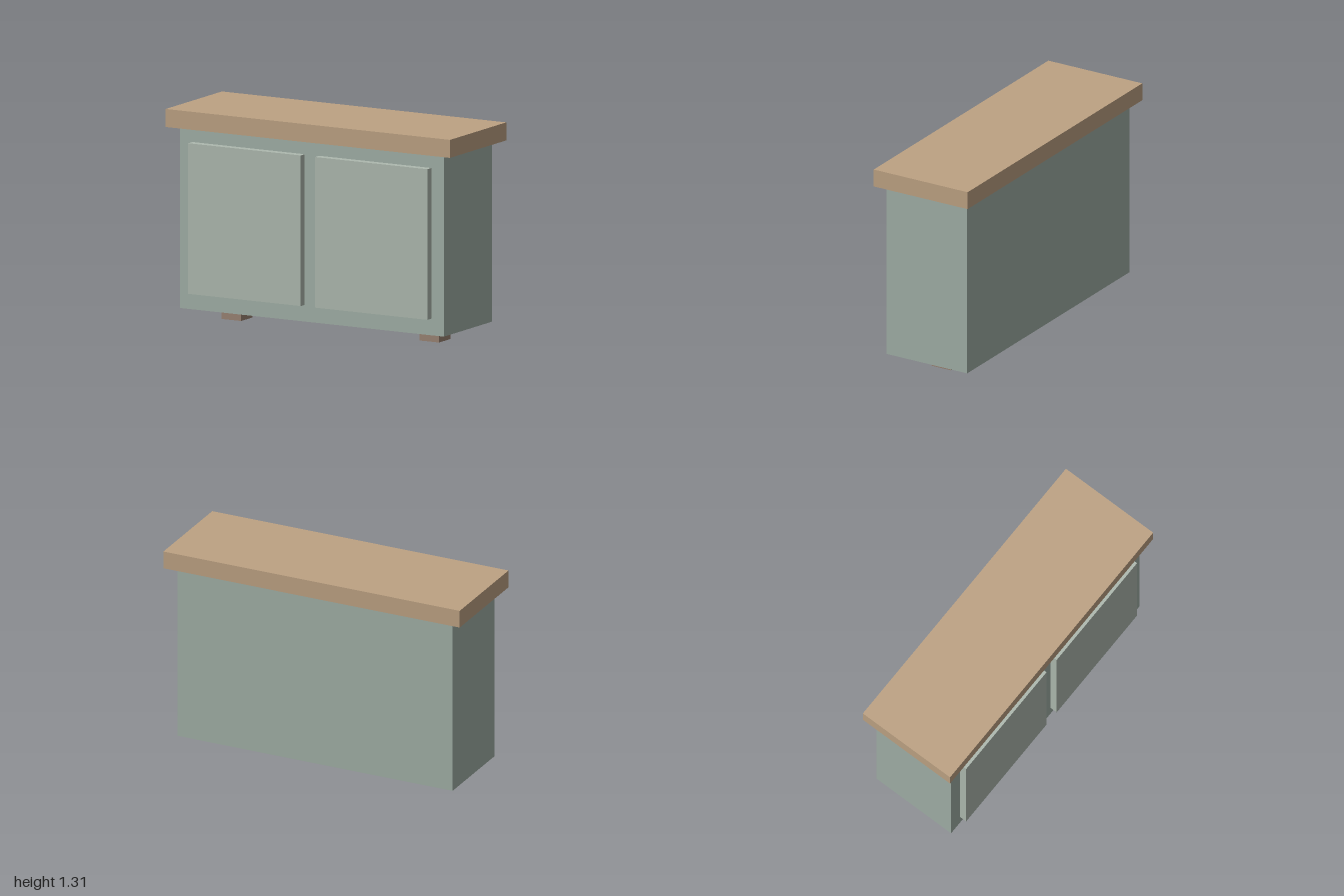
import * as THREE from 'three';

const paint = (color) => new THREE.MeshStandardMaterial({ color });

export function createModel() {
  const group = new THREE.Group();
  const bodyPaint = paint(0xa0afa6);
  const doorPaint = paint(0xaeb9af);
  const topWood = paint(0xbda283);
  const footWood = paint(0x998373);

  // Box given by its width, depth, bottom and top heights, and centre in x and z
  function addBox(name, material, width, depth, bottom, top, x = 0, z = 0) {
    const mesh = new THREE.Mesh(new THREE.BoxGeometry(width, top - bottom, depth), material);
    mesh.name = name;
    mesh.position.set(x, (bottom + top) / 2, z);
    group.add(mesh);
  }

  // Cabinet body and overhanging worktop
  addBox('cabinetBody', bodyPaint, 1.856, 0.574, 0.087, 1.203);
  addBox('worktop', topWood, 2, 0.67, 1.203, 1.314);

  // Mirrored doors and feet
  for (const [side, s] of [['left', 1], ['right', -1]]) {
    addBox(side + 'Door', doorPaint, 0.791, 0.048, 0.19, 1.118, s * 0.446, 0.311);
    addBox(side + 'Foot', footWood, 0.138, 0.138, 0, 0.087, s * 0.696);
  }

  return group;
}
